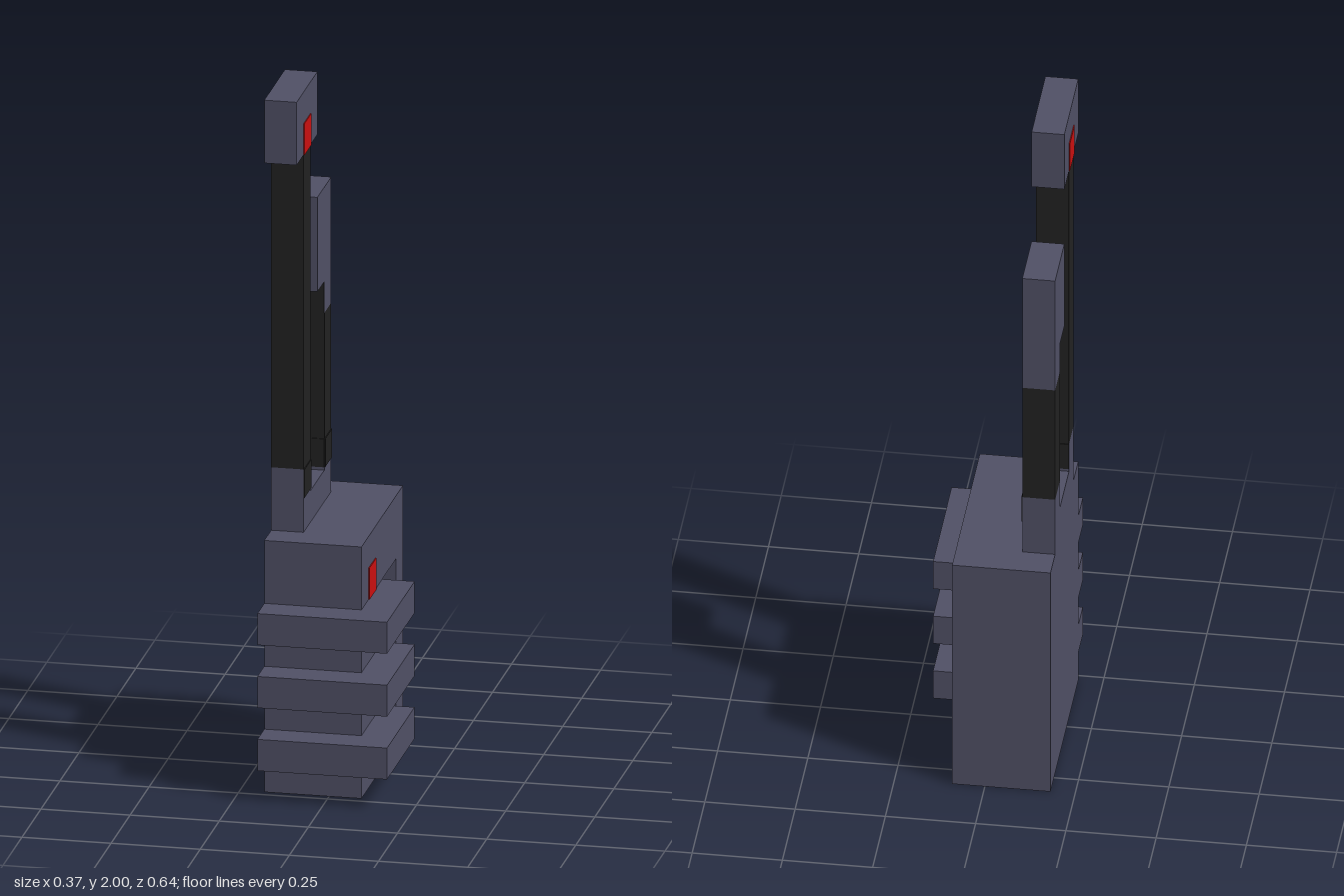
import * as THREE from 'three';

const U = 1 / 11; // the model is laid out on a block grid, 22 units tall
const T = 0.03;   // painted plate thickness in grid units

export function createModel() {
  const model = new THREE.Group();
  model.name = 'blockTool';

  const slate = new THREE.MeshStandardMaterial({ name: 'slate', color: 0x505066 });
  const black = new THREE.MeshStandardMaterial({ name: 'black', color: 0x222222 });
  const red = new THREE.MeshStandardMaterial({ name: 'red', color: 0xcc1010 });

  // Box given by its min/max grid coordinates
  function block(name, material, [x0, x1], [y0, y1], [z0, z1]) {
    const geometry = new THREE.BoxGeometry((x1 - x0) * U, (y1 - y0) * U, (z1 - z0) * U);
    const mesh = new THREE.Mesh(geometry, material);
    mesh.position.set((x0 + x1) / 2 * U, (y0 + y1) / 2 * U, (z0 + z1) / 2 * U);
    mesh.name = name;
    model.add(mesh);
  }

  const thin = [-2, -1]; // x range of everything above the body
  const rows = [1, 3, 5];

  // Body: solid core plus a slotted outer layer on the left side
  block('bodyCore', slate, [-2, 0], [0, 8], [-3.5, 2.5]);
  const side = new THREE.Shape();
  side.moveTo(-2.5 * U, 0).lineTo(3.5 * U, 0).lineTo(3.5 * U, 8 * U).lineTo(-2.5 * U, 8 * U).closePath();
  for (const y of rows) {
    const slot = new THREE.Path();
    slot.moveTo(0.5 * U, y * U).lineTo(0.5 * U, (y + 1) * U);
    slot.lineTo(2.5 * U, (y + 1) * U).lineTo(2.5 * U, y * U).closePath();
    side.holes.push(slot);
  }
  const layer = new THREE.ExtrudeGeometry(side, { depth: U, bevelEnabled: false }).rotateY(Math.PI / 2);
  const slotted = new THREE.Mesh(layer, slate);
  slotted.name = 'slottedBodySide';
  model.add(slotted);

  // Wrap-around fingers and the dark backs of the slots
  for (const y of rows) {
    block('fingerFront', slate, [-2, 2], [y, y + 1], [2.5, 3.5]);
    block('fingerSide', slate, [1, 2], [y, y + 1], [-0.5, 2.5]);
    block('slotBack', black, [0, T], [y, y + 1], [-2.5, -0.5]);
  }
  block('bodyButton', red, [1, 1 + T], [6, 7], [0.5, 1.5]);

  // Raised base carrying both posts
  block('postBase', slate, thin, [8, 9], [-2.5, 1.5]);

  // Front post and its head
  block('frontPostFoot', slate, thin, [9, 10], [0.5, 1.5]);
  block('frontPost', black, thin, [10, 20], [0.5, 1.5]);
  block('head', slate, thin, [20, 22], [-0.5, 2.5]);
  block('headButtonLeft', red, [-1, -1 + T], [20, 21], [0.5, 1.5]);
  block('headButtonRight', red, [-2 - T, -2], [20, 21], [0.5, 1.5]);

  // Rear post and its blade
  block('rearPostFoot', slate, thin, [9, 10], [-2.5, -1.5]);
  block('rearPost', black, thin, [10, 14], [-2.5, -1.5]);
  block('rearNeck', slate, thin, [14, 15], [-2.5, -1.5]);
  block('rearBlade', slate, thin, [15, 18], [-2.5, -0.5]);
  block('rearNeckPanel', black, thin, [14, 15], [-1.5, -1.5 + T]);

  // Dark inner faces of the post feet
  for (const z of [0.5, -2.5]) {
    block('footSidePanel', black, [-1, -1 + T], [9.1, 10], [z, z + 1]);
  }
  block('frontFootInnerPanel', black, thin, [9.1, 10], [0.5 - T, 0.5]);
  block('rearFootInnerPanel', black, thin, [9.1, 10], [-1.5, -1.5 + T]);

  return model;
}
